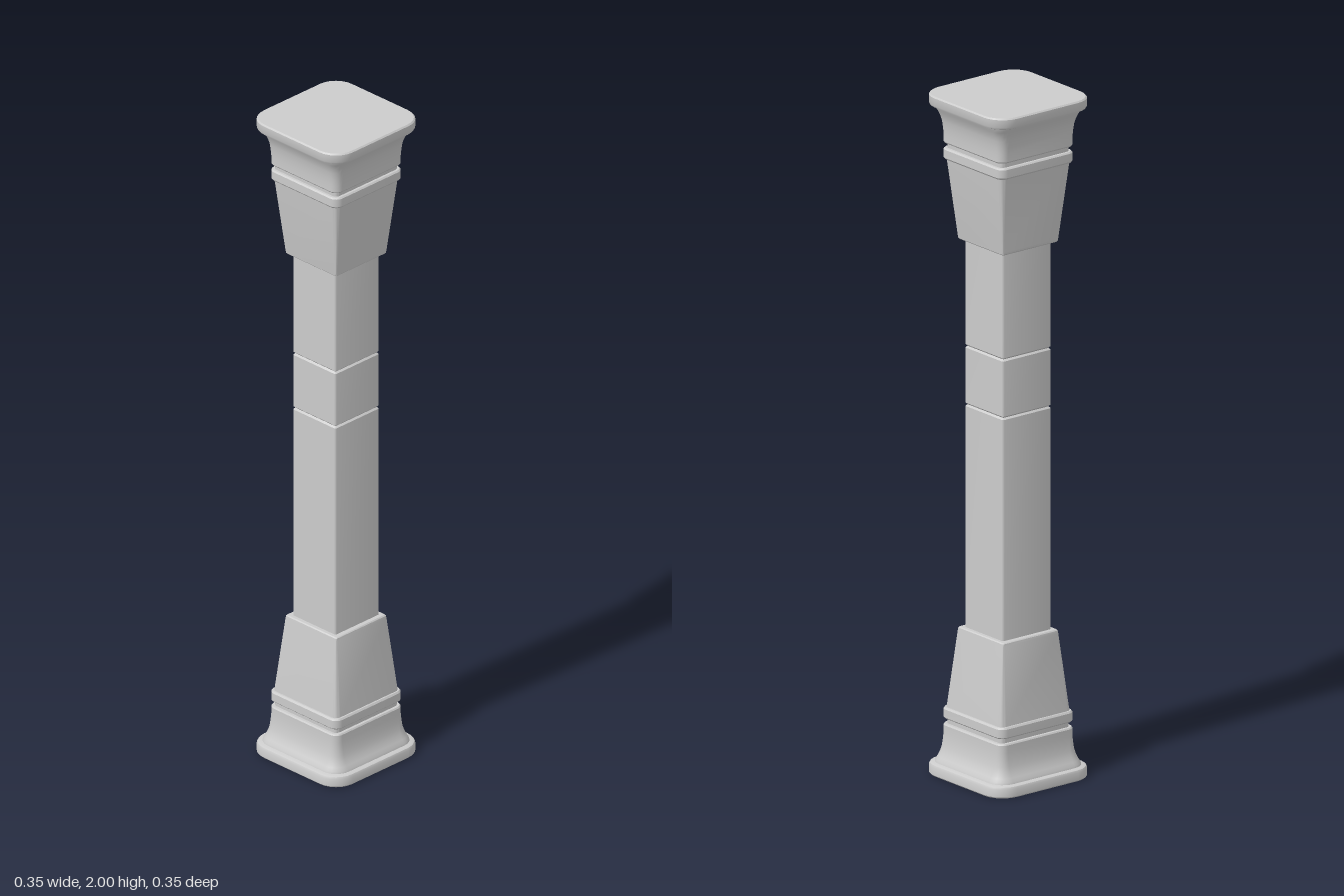
import * as THREE from 'three';
import { toCreasedNormals } from 'three/addons/utils/BufferGeometryUtils.js';

const ARC = 6; // segments per rounded corner
const material = new THREE.MeshStandardMaterial({ color: 0xcccccc });

// Rounded-square outline; corners grow rounder as the section grows wider.
function outline(w, depthScale) {
  const r = Math.max(0.005, w - 0.11);
  const points = [];
  for (let q = 0; q < 4; q++) {
    const mid = (q + 0.5) * Math.PI / 2;
    const cx = Math.sign(Math.cos(mid)) * (w - r);
    const cz = Math.sign(Math.sin(mid)) * (w - r);
    for (let i = 0; i <= ARC; i++) {
      const a = (q + i / ARC) * Math.PI / 2;
      points.push([cx + r * Math.cos(a), (cz + r * Math.sin(a)) * depthScale]);
    }
  }
  return points;
}

// Closed loft through [halfWidth, y] sections, listed from bottom to top.
function loft(name, profile, depthScale = 1) {
  const positions = [], index = [];
  const n = 4 * (ARC + 1);
  for (const [w, y] of profile) {
    for (const [x, z] of outline(w, depthScale)) positions.push(x, y, z);
  }
  const last = (profile.length - 1) * n;
  const bottom = profile.length * n, top = bottom + 1;
  positions.push(0, profile[0][1], 0, 0, profile[profile.length - 1][1], 0);
  for (let j = 0; j < n; j++) {
    const k = (j + 1) % n;
    for (let row = 0; row < last; row += n) {
      index.push(row + j, row + n + j, row + k, row + k, row + n + j, row + n + k);
    }
    index.push(bottom, j, k, top, last + k, last + j);
  }
  const geometry = new THREE.BufferGeometry();
  geometry.setAttribute('position', new THREE.Float32BufferAttribute(positions, 3));
  geometry.setIndex(index);
  const mesh = new THREE.Mesh(toCreasedNormals(geometry, 0.6), material);
  mesh.name = name;
  return mesh;
}

// Mouldings of one end, measured from the outer face inwards.
const endParts = {
  Plate: [[0.172, 0], [0.176, 0.004], [0.176, 0.026], [0.173, 0.032], [0.166, 0.035]],
  Cove: [[0.16, 0.034], [0.158, 0.041], [0.152, 0.05], [0.145, 0.064], [0.14, 0.08],
    [0.137, 0.1], [0.135, 0.12], [0.135, 0.142], [0.132, 0.146]],
  Neck: [[0.124, 0.14], [0.124, 0.17]],
  Band: [[0.131, 0.161], [0.135, 0.165], [0.135, 0.189], [0.131, 0.194]],
  Taper: [[0.127, 0.19], [0.101, 0.42], [0.1, 0.427], [0.097, 0.43]],
};

function endBlock(name, flip) {
  const group = new THREE.Group();
  group.name = name;
  for (const [part, profile] of Object.entries(endParts)) {
    const sections = flip ? profile.map(([w, y]) => [w, 2 - y]).reverse() : profile;
    group.add(loft(name + part, sections));
  }
  return group;
}

export function createModel() {
  const column = new THREE.Group();
  column.name = 'column';
  column.add(endBlock('base', false), endBlock('capital', true));

  // Shaft of three blocks, with a fine V-groove at each joint.
  const joints = [0.42, 1.085, 1.257, 1.58];
  const names = ['lowerShaft', 'middleShaft', 'upperShaft'];
  names.forEach((name, i) => {
    const y0 = joints[i], y1 = joints[i + 1];
    const w = 0.087, b = 0.005;
    column.add(loft(name, [[w - b, y0], [w, y0 + b], [w, y1 - b], [w - b, y1]], 0.97));
  });
  return column;
}
